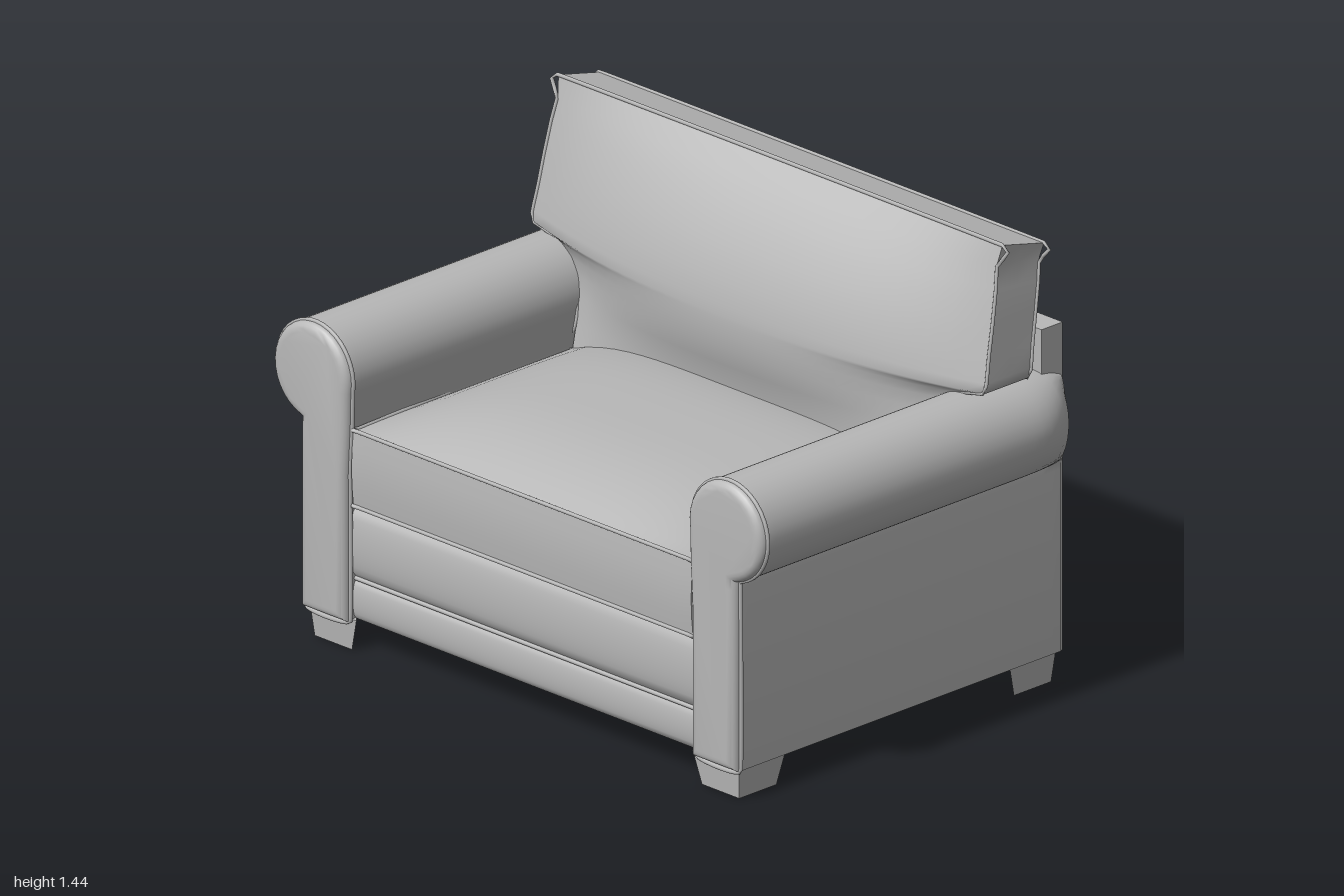
import * as THREE from 'three';
import { toCreasedNormals } from 'three/addons/utils/BufferGeometryUtils.js';

const fabric = new THREE.MeshStandardMaterial({ color: 0xb8b8b8 });
fabric.name = 'grey fabric';

// Moves every vertex of a geometry by a rule, then refreshes the normals
function warp(geometry, rule) {
  const pos = geometry.attributes.position;
  const v = new THREE.Vector3();
  for (let i = 0; i < pos.count; i++) {
    rule(v.fromBufferAttribute(pos, i));
    pos.setXYZ(i, v.x, v.y, v.z);
  }
  geometry.computeVertexNormals();
  return geometry;
}

// Thin welt cord following a closed loop of points
function piping(points, radius = 0.007) {
  const path = new THREE.CatmullRomCurve3(points, true, 'catmullrom', 0.1);
  return new THREE.TubeGeometry(path, 160, radius, 6, true);
}

// Outline of a rolled arm seen from the front
function armProfile(side) {
  const pts = [[0.705, 0.095], [0.705, 0.55], [0.697, 0.7]];
  for (let i = 0; i <= 24; i++) {
    const a = THREE.MathUtils.degToRad(190 - (265 * i) / 24);
    pts.push([0.845 + 0.153 * Math.cos(a), 0.83 + 0.153 * Math.sin(a)]);
  }
  pts.push([0.886, 0.66], [0.886, 0.095]);
  return pts.map(([x, y]) => new THREE.Vector2(side * x, y));
}

// Height and half-width rows of the T-shaped back cushion, from the top down
const backRows = [
  [1.43, 0.905], [1.37, 0.895], [1.3, 0.905], [1.2, 0.913], [1.1, 0.918],
  [1.03, 0.925], [1.0, 0.922], [0.99, 0.87], [0.975, 0.81], [0.945, 0.76],
  [0.9, 0.72], [0.84, 0.7], [0.76, 0.69], [0.68, 0.69],
];

// Place on the leaning back cushion: u across, row down, s from back (-1) to front (1)
function backPoint(v, u, row, s) {
  const [y, w] = backRows[row];
  const front = -0.31 - 0.21 * (y - 1);
  const back = -0.49 - 0.18 * (y - 1);
  const swell = Math.max(0, 1 - ((y - 1.08) / 0.35) ** 2) * (1 - Math.abs(u) ** 2.5);
  const puff = s > 0.99 ? 0.125 * swell : s < -0.99 ? -0.065 * swell : 0;
  const drop = 0.02 * (1 - s) * Math.max(0, (y - 1.2) / 0.23);
  return v.set(u * w, y - drop, THREE.MathUtils.lerp(back, front, (s + 1) / 2) + puff);
}

export function createModel() {
  const group = new THREE.Group();
  group.name = 'armchair';
  const add = (name, geometry) => {
    const mesh = new THREE.Mesh(geometry, fabric);
    mesh.name = name;
    group.add(mesh);
    return mesh;
  };
  const box = (name, x0, x1, y0, y1, z0, z1) =>
    add(name, new THREE.BoxGeometry(x1 - x0, y1 - y0, z1 - z0)
      .translate((x0 + x1) / 2, (y0 + y1) / 2, (z0 + z1) / 2));

  // Frame
  box('base', -0.72, 0.72, 0.1, 0.48, -0.6, 0.6);
  box('backPanel', -0.882, 0.882, 0.095, 1.11, -0.665, -0.58);

  // Padded front rails
  const rail = (name, y0, y1, puff) => {
    const h = (y1 - y0) / 2;
    add(name, warp(new THREE.BoxGeometry(1.41, 2 * h, 0.1, 1, 12, 1), (v) => {
      if (v.z > 0) v.z += puff * Math.sqrt(Math.max(0, 1 - (v.y / h) ** 2));
      v.y += y0 + h;
      v.z += 0.56;
    }));
  };
  rail('lowerFrontRail', 0.097, 0.22, 0.015);
  rail('upperFrontRail', 0.226, 0.448, 0.025);
  add('railWelt', new THREE.CylinderGeometry(0.007, 0.007, 1.41, 8)
    .rotateZ(Math.PI / 2).translate(0, 0.223, 0.613));

  // Domed seat cushion with piped edges
  add('seatCushion', warp(new THREE.BoxGeometry(2, 2, 2, 24, 4, 24), (v) => {
    const { x: u, y: t, z: s } = v;
    const dome = t > 0.99 ? 0.092 * (1 - u ** 4) * (1 - Math.abs(s) ** 3) : 0;
    const puff = s > 0.99 ? 0.008 * (1 - t * t) : 0;
    v.set(u * 0.692, 0.573 + t * 0.117 + dome, 0.095 + s * 0.54 + puff);
  }));
  for (const y of [0.456, 0.69]) {
    const corners = [[-0.69, 0.62], [-0.675, 0.635], [0.675, 0.635], [0.69, 0.62], [0.69, -0.44], [-0.69, -0.44]];
    add('seatPiping', piping(corners.map(([x, z]) => new THREE.Vector3(x, y, z))));
  }

  // T-shaped back cushion
  const last = backRows.length - 1;
  add('backCushion', warp(new THREE.BoxGeometry(2, 2, 2, 28, last, 2),
    (v) => backPoint(v, v.x, Math.round(((1 - v.y) / 2) * last), v.z)));
  for (const s of [-1, 1]) {
    const edge = [];
    for (let i = 0; i <= last; i++) edge.push(backPoint(new THREE.Vector3(), 1, i, s));
    for (let i = last; i >= 0; i--) edge.push(backPoint(new THREE.Vector3(), -1, i, s));
    add('backCushionPiping', piping(edge, 0.006));
  }

  for (const side of [-1, 1]) {
    const label = side > 0 ? 'left' : 'right';
    const profile = armProfile(side);

    // Rolled arm, its outer roll curving in towards the back
    const arm = new THREE.ExtrudeGeometry(new THREE.Shape(profile),
      { depth: 1.293, steps: 36, bevelEnabled: false }).translate(0, 0, -0.655);
    warp(arm, (v) => {
      const t = Math.min(1, Math.max(0, (-0.47 - v.z) / 0.185));
      const k = Math.sqrt(1 - 0.97 * t * t);
      const x = Math.abs(v.x);
      if (x > 0.886) v.x = side * (0.886 + (x - 0.886) * k);
      if (v.y > 0.83) v.y = 0.83 + (v.y - 0.83) * (0.8 + 0.2 * k);
    });
    add(label + 'Arm', toCreasedNormals(arm, 0.7));

    // Padded arm front and its piping
    const face = new THREE.ExtrudeGeometry(new THREE.Shape(profile), {
      depth: 0.01, bevelThickness: 0.026, bevelSize: 0.03, bevelOffset: -0.03, bevelSegments: 5,
    }).translate(0, 0, 0.629);
    add(label + 'ArmFront', toCreasedNormals(face, 0.7));
    add(label + 'ArmPiping', piping(profile.map((p) => new THREE.Vector3(p.x, p.y, 0.636))));

    // Tapered triangular corner legs
    for (const end of [-1, 1]) {
      const zc = end > 0 ? 0.63 : -0.645;
      const tri = [[0.875, zc], [0.685, zc], [0.875, zc - end * 0.187]]
        .map(([x, z]) => new THREE.Vector2(side * x, z));
      const leg = new THREE.ExtrudeGeometry(new THREE.Shape(tri), { depth: 0.1, bevelEnabled: false })
        .rotateX(Math.PI / 2).translate(0, 0.1, 0);
      const px = side * 0.825;
      const pz = zc - end * 0.05;
      add(label + (end > 0 ? 'FrontLeg' : 'BackLeg'), warp(leg, (v) => {
        if (v.y > 0.05) return;
        v.x = px + (v.x - px) * 0.8;
        v.z = pz + (v.z - pz) * 0.8;
      }));
    }
  }
  return group;
}
